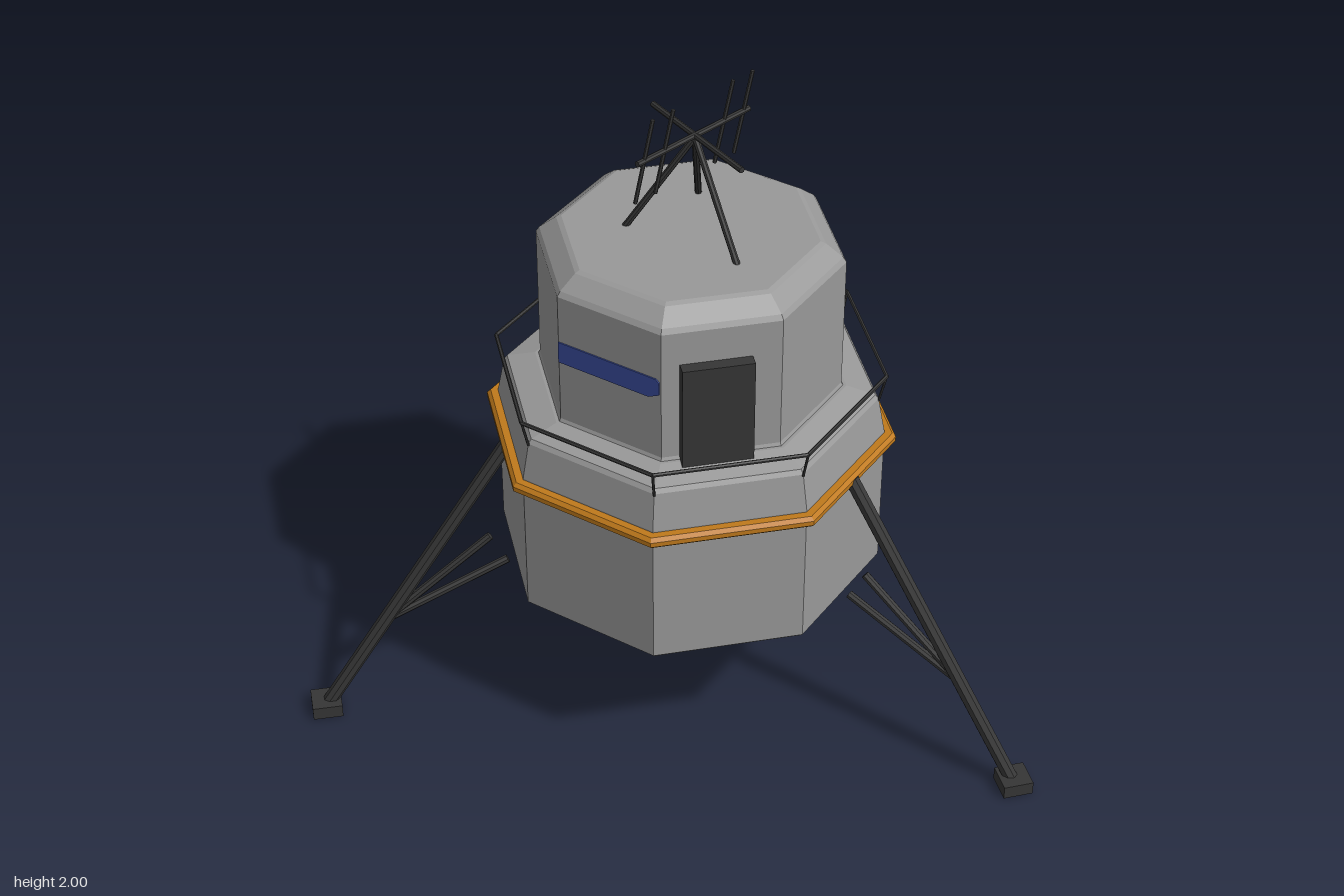
import * as THREE from 'three';

const CX = 0.14, CZ = -0.13; // hull axis

function makeMaterial(name, color) {
  const m = new THREE.MeshStandardMaterial({ color, flatShading: true });
  m.name = name;
  return m;
}

export function createModel() {
  const grey = makeMaterial('hullGrey', 0x999999);
  const dark = makeMaterial('darkMetal', 0x363636);
  const gold = makeMaterial('goldTrim', 0xc07a1c);
  const blue = makeMaterial('bluePaint', 0x3a4c9c);

  const model = new THREE.Group();
  model.name = 'landerModule';

  const group = (name) => {
    const g = new THREE.Group();
    g.name = name;
    model.add(g);
    return g;
  };
  const add = (parent, name, geometry, material) => {
    const mesh = new THREE.Mesh(geometry, material);
    mesh.name = name;
    parent.add(mesh);
    return mesh;
  };
  const v = (x, y, z) => new THREE.Vector3(x, y, z);
  // point at an angle (degrees, from +x towards +z) around the hull axis
  const polar = (deg, r, y) => {
    const a = THREE.MathUtils.degToRad(deg);
    return v(CX + r * Math.cos(a), y, CZ + r * Math.sin(a));
  };
  // straight bar between two points
  const rod = (parent, name, a, b, r, sides = 8) => {
    const mesh = add(parent, name, new THREE.CylinderGeometry(r, r, a.distanceTo(b), sides), dark);
    mesh.position.copy(a).lerp(b, 0.5);
    mesh.quaternion.setFromUnitVectors(v(0, 1, 0), b.clone().sub(a).normalize());
    return mesh;
  };
  // eight-sided solid from a radius/height profile
  const octagon = (name, profile, material) => {
    const points = profile.map(([r, y]) => new THREE.Vector2(r, y));
    add(model, name, new THREE.LatheGeometry(points, 8), material).position.set(CX, 0, CZ);
  };

  // hull
  octagon('lowerHull', [[0, 0.463], [0.57, 0.463], [0.577, 0.47], [0.577, 0.93],
    [0.555, 1.045], [0.545, 1.058], [0.46, 1.08], [0.4, 1.08]], grey);
  octagon('cabin', [[0.46, 1.06], [0.445, 1.09], [0.445, 1.505], [0.435, 1.52],
    [0.385, 1.56], [0.37, 1.566], [0, 1.566]], grey);
  octagon('trimRing', [[0.57, 0.89], [0.6, 0.89], [0.611, 0.9], [0.611, 0.915],
    [0.6, 0.926], [0.57, 0.926]], gold);

  // railing around the deck
  const railing = group('railing');
  for (let i = 0; i < 8; i++) {
    const top = polar(i * 45, 0.575, 1.127);
    rod(railing, 'railPost', polar(i * 45, 0.555, 1.04), top, 0.004, 6);
    rod(railing, 'handRail', top, polar((i + 1) * 45, 0.575, 1.127), 0.006, 6);
  }

  // door and painted patch on two cabin sides
  const panel = (name, deg, r, y, geometry, material) => {
    const mesh = add(model, name, geometry, material);
    mesh.position.copy(polar(deg, r, y));
    mesh.rotation.y = THREE.MathUtils.degToRad(90 - deg);
  };
  panel('door', 112.5, 0.425, 1.235, new THREE.BoxGeometry(0.205, 0.33, 0.045).translate(-0.016, 0, 0), dark);

  const patch = new THREE.Shape();
  patch.moveTo(-0.17, -0.033);
  patch.lineTo(0.13, -0.033);
  patch.lineTo(0.165, -0.015);
  patch.lineTo(0.165, 0.025);
  patch.lineTo(0.155, 0.035);
  patch.lineTo(-0.17, 0.035);
  panel('paintPatch', 157.5, 0.41, 1.32,
    new THREE.ExtrudeGeometry(patch, { depth: 0.005, bevelEnabled: false }), blue);

  // three landing legs: angle, foot turn
  [[200.5, -24], [314.6, 0], [67.3, -20]].forEach(([deg, turn]) => {
    const leg = group('landingLeg');
    const knee = polar(deg, 0.945, 0.315);
    rod(leg, 'mainStrut', polar(deg, 1.13, 0.03), polar(deg, 0.55, 0.905), 0.022);
    rod(leg, 'upperBrace', knee, polar(deg, 0.61, 0.575), 0.013);
    rod(leg, 'lowerBrace', knee, polar(deg, 0.56, 0.478), 0.013);
    const foot = add(leg, 'footPad', new THREE.BoxGeometry(0.09, 0.042, 0.09), dark);
    foot.position.copy(polar(deg, 1.14, 0.021));
    foot.rotation.y = THREE.MathUtils.degToRad(turn);
  });

  // roof antenna: tripod, crossed bars and four thin elements
  const antenna = group('antenna');
  const apex = v(0.145, 1.87, -0.115);
  [[0, -0.25], [0.27, -0.275], [0.145, 0.09]].forEach(([x, z]) =>
    rod(antenna, 'tripodLeg', apex, v(x, 1.56, z), 0.01));
  rod(antenna, 'crossBar', v(0.145, 1.874, 0.105), v(0.145, 1.874, -0.32), 0.009);
  const barZ = (x) => -0.08 - (x + 0.07) / 6;
  rod(antenna, 'elementBar', v(-0.07, 1.874, barZ(-0.07)), v(0.352, 1.874, barZ(0.352)), 0.009);
  for (const x of [-0.045, 0.03, 0.255, 0.33]) {
    const z = barZ(x);
    rod(antenna, 'element', v(x - 0.023, 1.742, z - 0.01), v(x + 0.023, 1.999, z + 0.01), 0.006, 6);
  }

  return model;
}
